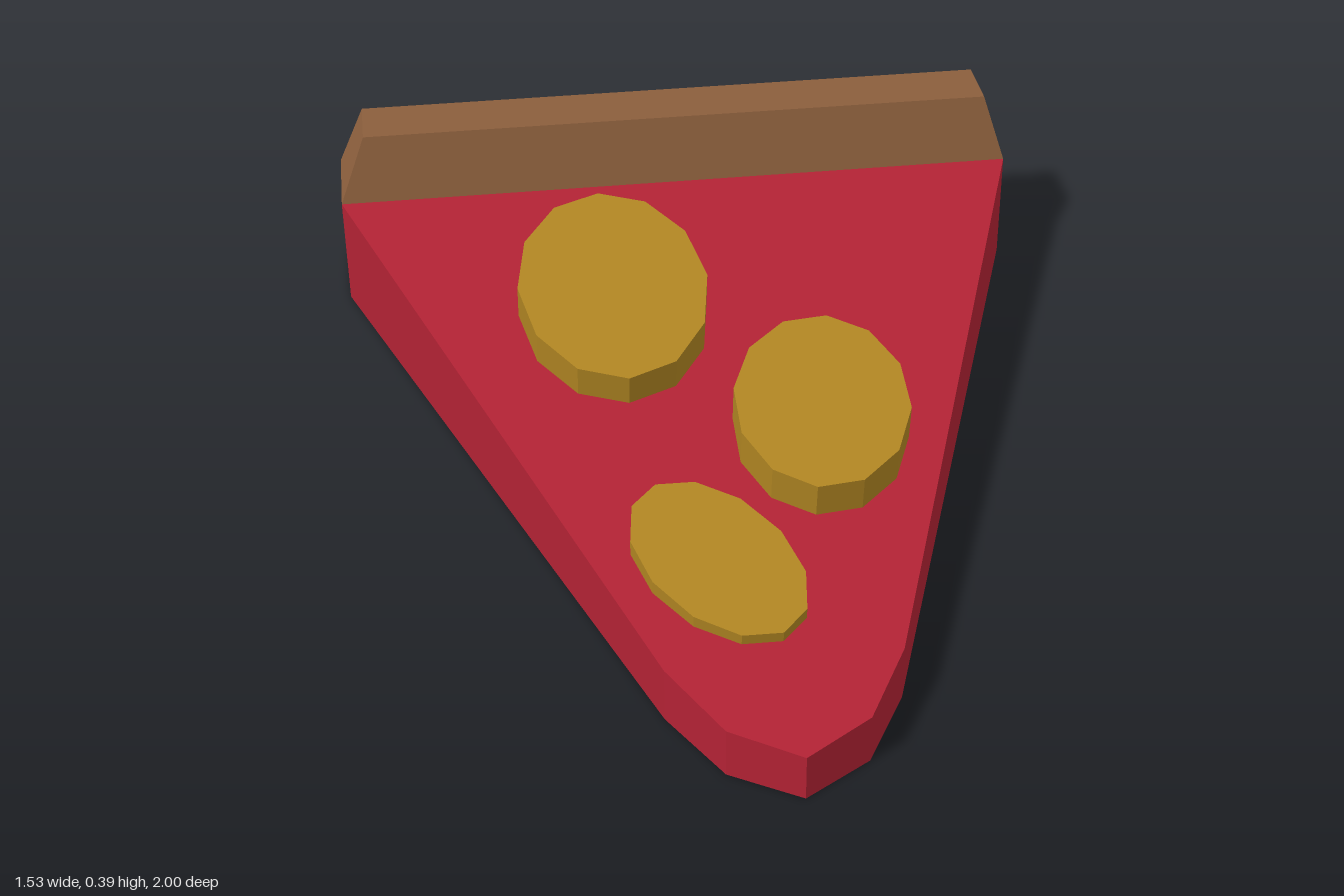
import * as THREE from 'three';

const material = (name, color) => {
  const m = new THREE.MeshStandardMaterial({ color, flatShading: true });
  m.name = name;
  return m;
};

// Move every vertex of a geometry by a rule
function reshape(geometry, rule) {
  const p = geometry.attributes.position;
  const v = new THREE.Vector3();
  for (let i = 0; i < p.count; i++) {
    rule(v.fromBufferAttribute(p, i));
    p.setXYZ(i, v.x, v.y, v.z);
  }
  geometry.computeVertexNormals();
  return geometry;
}

// Twelve-sided oval slab: u and v are its half axes in (x, z), top slopes down toward +z
function ovalSlab({ centre, u, v, top, slope, height, lean }) {
  return reshape(new THREE.CylinderGeometry(1, 1, 1, 12), (p) => {
    const dx = p.x * u[0] + p.z * v[0];
    const dz = p.x * u[1] + p.z * v[1];
    const under = p.y < 0;
    p.set(
      centre[0] + dx,
      top - slope * dz - (under ? height : 0),
      centre[1] + dz - (under ? lean : 0)
    );
  });
}

export function createModel() {
  const red = material('red sauce', 0xb22234);
  const brown = material('brown crust', 0x8b5e3c);
  const gold = material('golden topping', 0xb08522);

  const group = new THREE.Group();
  const add = (name, geometry, mat) => {
    const mesh = new THREE.Mesh(geometry, mat);
    mesh.name = name;
    group.add(mesh);
  };

  const halfWidth = 0.765, backZ = -1, crustZ = -0.79, backY = 0.245, tipY = 0.095;

  // Wedge-shaped slice, thinning toward its rounded tip
  const right = [[halfWidth, crustZ], [0.22, 0.76], [0.13, 0.92]];
  const left = right.map(([x, z]) => [-x, z]).reverse();
  const outline = [...right, [0, 1], ...left].map(([x, z]) => new THREE.Vector2(x, -z));
  const wedge = new THREE.ExtrudeGeometry(new THREE.Shape(outline), { depth: 1, bevelEnabled: false });
  wedge.rotateX(-Math.PI / 2);
  reshape(wedge, (p) => {
    p.y *= backY + (tipY - backY) * (p.z - crustZ) / (1 - crustZ);
  });
  add('slice', wedge, red);

  // Level back end of the slice, brown underneath
  const back = new THREE.BoxGeometry(2 * halfWidth, backY, crustZ - backZ);
  back.translate(0, backY / 2, (crustZ + backZ) / 2);
  add('sliceBack', back, [red, red, red, brown, red, red]);

  // Tapered crust ridge
  const crust = reshape(new THREE.BoxGeometry(2, 1, 2), (p) => {
    if (p.y > 0) p.set(p.x > 0 ? 0.72 : -0.705, 0.39, p.z > 0 ? -0.83 : -0.97);
    else p.set(p.x * halfWidth, backY, p.z > 0 ? crustZ : backZ);
  });
  add('crust', crust, brown);

  // Oval toppings resting on the slope
  const toppings = [
    { name: 'backTopping', centre: [-0.198, -0.31], u: [0.202, 0], v: [0, 0.32], top: 0.283, slope: 0.11, height: 0.09, lean: 0.018 },
    { name: 'middleTopping', centre: [0.175, 0.135], u: [0.175, -0.085], v: [0.04, 0.248], top: 0.25, slope: 0.11, height: 0.095, lean: 0.015 },
    { name: 'tipTopping', centre: [-0.088, 0.511], u: [0.145, 0.1525], v: [-0.065, 0.1475], top: 0.169, slope: 0.13, height: 0.047, lean: 0.008 },
  ];
  for (const t of toppings) add(t.name, ovalSlab(t), gold);

  return group;
}
